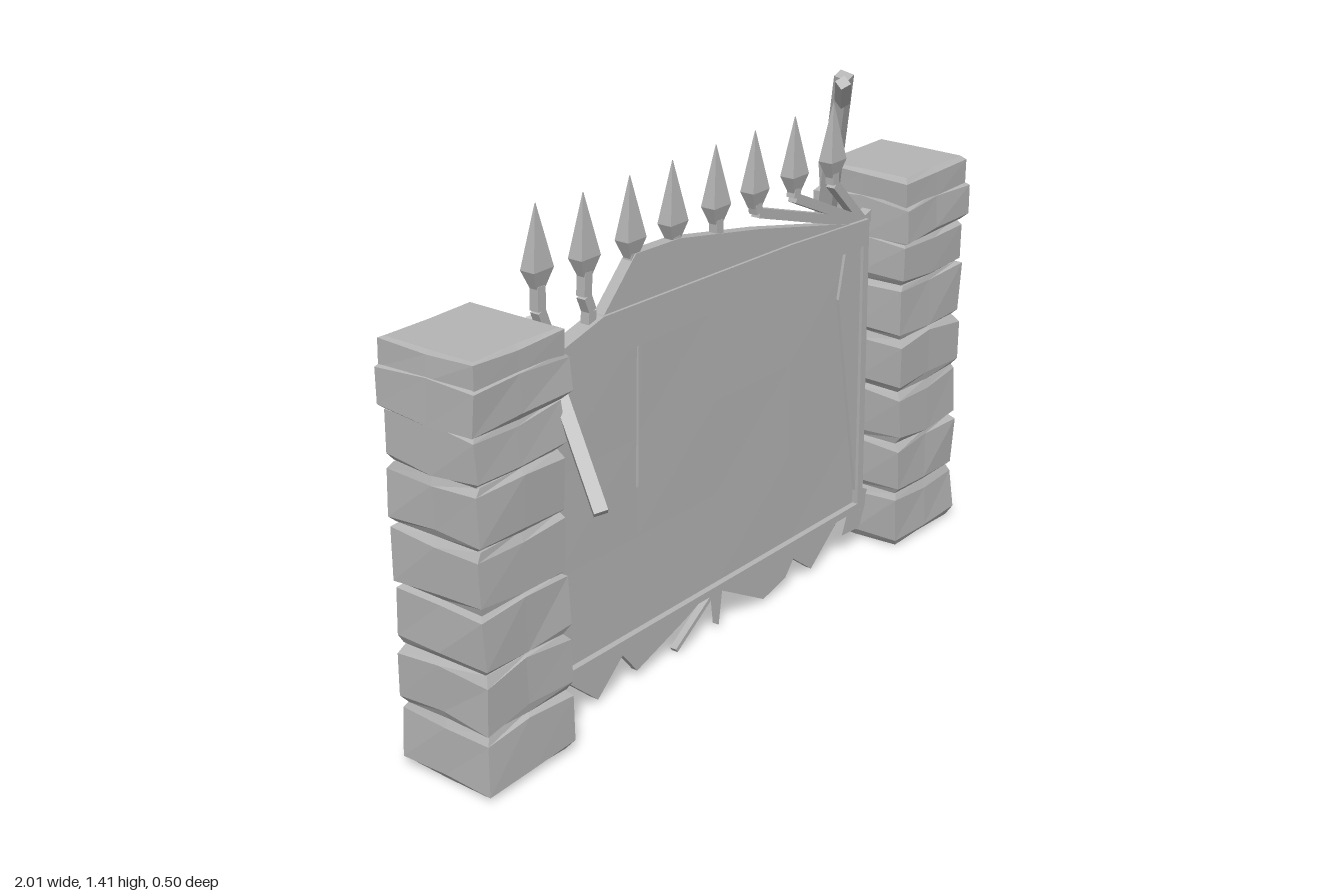
import * as THREE from 'three';

const stone = new THREE.MeshStandardMaterial({ color: 0xb4b4b4, flatShading: true, side: THREE.DoubleSide });
stone.name = 'plain grey';

function add(parent, geometry, name) {
  const mesh = new THREE.Mesh(geometry, stone);
  mesh.name = name;
  parent.add(mesh);
  return mesh;
}

// Repeatable noise in -1..1 so that shared corners stay together
function noise(a, b, c, seed) {
  const s = Math.sin(a * 12.99 + b * 78.23 + c * 37.72 + seed * 4.17) * 43758.5453;
  return (s - Math.floor(s)) * 2 - 1;
}

// Rough stone block with chamfered upper and lower edges
function block(w, h, d, seed, rough = 0.006) {
  const g = new THREE.BoxGeometry(2, 3, 2, 2, 3, 2);
  const p = g.attributes.position;
  for (let i = 0; i < p.count; i++) {
    const x = Math.round(p.getX(i)), z = Math.round(p.getZ(i)), row = Math.round(p.getY(i) + 1.5);
    const end = row === 0 || row === 3;
    const inset = end ? 0.012 : 0;
    const y = [-0.5, -0.41, 0.4, 0.5][row] * h;
    p.setXYZ(i,
      x * (w / 2 - inset) + noise(x, row, z, seed) * rough,
      y + (end ? 0 : noise(z, x, row, seed) * rough * 2),
      z * (d / 2 - inset) + noise(row, z, x, seed) * rough);
  }
  return g;
}

// Square beam between two points
function beam(parent, a, b, w, d, name) {
  const from = new THREE.Vector3(...a), to = new THREE.Vector3(...b);
  const mesh = add(parent, new THREE.BoxGeometry(w, from.distanceTo(to), d), name);
  mesh.position.copy(from).add(to).multiplyScalar(0.5);
  mesh.quaternion.setFromUnitVectors(new THREE.Vector3(0, 1, 0), to.sub(from).normalize());
  return mesh;
}

// Flat plate cut from an outline, spanning z0..z1
function plate(parent, pts, z0, z1, name, hole) {
  const shape = new THREE.Shape(pts.map(([x, y]) => new THREE.Vector2(x, y)));
  if (hole) shape.holes.push(new THREE.Path(hole.map(([x, y]) => new THREE.Vector2(x, y))));
  const g = new THREE.ExtrudeGeometry(shape, { depth: z1 - z0, bevelEnabled: false });
  g.translate(0, 0, z0);
  return add(parent, g, name);
}

function pillar(x, top, seed) {
  const group = new THREE.Group();
  group.name = x < 0 ? 'rightPillar' : 'leftPillar';
  const levels = [0.005, 0.168, 0.322, 0.478, 0.635, 0.79, 0.92];
  for (let i = 0; i < 6; i++) {
    const h = levels[i + 1] - levels[i];
    add(group, block(0.29, h, 0.28, seed + i), 'stoneCourse').position.set(x, levels[i] + h / 2, -0.05);
  }
  // Mortar core closes the gaps between the courses
  add(group, new THREE.BoxGeometry(0.26, 1.0, 0.25), 'core').position.set(x, 0.52, -0.05);
  // Overhanging capstone and its top slab
  add(group, block(0.312, 0.115, 0.3, seed + 7), 'capstone').position.set(x, 0.972, -0.05);
  add(group, block(0.296, top - 1.01, 0.29, seed + 8, 0.003), 'capSlab').position.set(x, (top + 1.01) / 2, -0.05);
  return group;
}

// Four-sided spear head
function spearHead(parent, x, y) {
  const pts = [[0, -0.005], [0.016, 0], [0.034, 0.045], [0.001, 0.2]]
    .map(([r, h]) => new THREE.Vector2(r * Math.SQRT2, h));
  const mesh = add(parent, new THREE.LatheGeometry(pts, 4, Math.PI / 4), 'spearHead');
  mesh.scale.z = 0.62;
  mesh.position.set(x, y, -0.024);
}

function rods(parent, pts, w, name) {
  for (let i = 1; i < pts.length; i++) beam(parent, pts[i - 1], pts[i], w, w, name);
}

export function createModel() {
  const model = new THREE.Group();
  model.name = 'brokenGate';
  model.add(pillar(-0.845, 1.09, 3), pillar(0.838, 1.1, 21));

  const gate = new THREE.Group();
  gate.name = 'gate';
  model.add(gate);

  // Outer frame with a recessed opening
  plate(gate,
    [[-0.66, 0.12], [0.655, 0.12], [0.655, 0.98], [0.3, 1.0], [-0.45, 1.02], [-0.66, 0.965]],
    -0.045, 0, 'frame', [[-0.63, 0.14], [-0.63, 0.91], [0.63, 0.91], [0.63, 0.14]]);

  // Warped sheet filling the frame
  const sheet = new THREE.BoxGeometry(1.27, 0.79, 0.026, 4, 3, 1);
  const sp = sheet.attributes.position;
  for (let i = 0; i < sp.count; i++) {
    const x = sp.getX(i), y = sp.getY(i);
    if (sp.getZ(i) > 0 && Math.abs(x) < 0.6 && Math.abs(y) < 0.38) {
      sp.setZ(i, 0.013 + noise(Math.round(x * 9), Math.round(y * 9), 1, 2) * 0.004);
    }
  }
  sheet.translate(0, 0.525, -0.031);
  add(gate, sheet, 'sheet');
  // Long torn creases on the sheet
  plate(gate, [[-0.31, 0.91], [-0.32, 0.53], [-0.3, 0.91]], -0.02, -0.012, 'crease');
  plate(gate, [[0.53, 0.78], [0.63, 0.18], [0.63, 0.91], [0.56, 0.91]], -0.02, -0.009, 'crease');

  // Slumped crest above the frame
  plate(gate, [[-0.45, 1.01], [0.64, 0.97], [0.17, 1.075], [-0.155, 1.135], [-0.32, 1.14]],
    -0.04, -0.008, 'crest');

  // Torn lower edge
  const teeth = [
    [[-0.63, 0.13], [-0.49, 0.01], [-0.39, 0.095], [-0.36, 0.13]],
    [[-0.42, 0.13], [-0.33, 0.02], [-0.13, 0.085], [-0.02, 0.13]],
    [[-0.02, 0.13], [0.2, 0.01], [0.3, 0.035], [0.38, 0.13]],
    [[0.33, 0.13], [0.35, 0.07], [0.43, 0.01], [0.58, 0.13]],
    [[0.57, 0.06], [0.655, 0.055], [0.655, 0.13], [0.6, 0.13]],
  ];
  teeth.forEach((t, i) => plate(gate, t, -0.04 + (i % 2) * 0.006, -0.01 - (i % 2) * 0.006, 'tornEdge'));
  beam(gate, [-0.17, 0.008, -0.025], [0, 0.12, -0.025], 0.012, 0.02, 'brokenRod');
  plate(gate, [[-0.005, 0.12], [0.008, 0.01], [0.025, 0.12]], -0.035, -0.015, 'rodTip');

  // Stile feet and hinge scraps beside the pillars
  beam(gate, [-0.647, 0, -0.024], [-0.647, 0.14, -0.024], 0.026, 0.035, 'stileFoot');
  beam(gate, [-0.685, 0.17, -0.03], [-0.65, 0.04, -0.03], 0.016, 0.03, 'hingeScrap');
  beam(gate, [0.64, 0.17, -0.03], [0.7, 0.14, -0.03], 0.03, 0.03, 'hinge');
  beam(gate, [0.655, 0.06, -0.03], [0.69, 0.14, -0.03], 0.022, 0.03, 'hingeScrap');
  beam(gate, [0.62, 0.96, -0.03], [0.7, 0.985, -0.03], 0.03, 0.03, 'hinge');
  beam(gate, [-0.64, 0.955, -0.03], [-0.71, 0.965, -0.03], 0.025, 0.03, 'hinge');

  // Spear heads on bent stems
  const z = -0.024;
  const stems = [
    [[-0.65, 1.15, z], [-0.652, 1.09, z], [-0.632, 1.04, z], [-0.645, 0.96, z]],
    [[-0.487, 1.14, z], [-0.492, 1.08, z], [-0.476, 1.04, z], [-0.48, 1.0, z]],
    [[-0.32, 1.14, z], [-0.325, 1.1, z]],
    [[-0.16, 1.14, z], [-0.155, 1.1, z]],
    [[0.01, 1.14, z], [0.01, 1.04, z]],
    [[0.17, 1.14, z], [0.175, 1.115, z], [0.63, 0.975, z]],
    [[0.34, 1.14, z], [0.335, 1.115, z], [0.64, 0.975, z]],
    [[0.51, 1.14, z], [0.51, 1.11, z], [0.645, 0.975, z]],
  ];
  stems.forEach((s, i) => {
    rods(gate, s, 0.026, 'spearStem');
    spearHead(gate, s[0][0], i === 0 ? 1.145 : 1.13);
  });

  // Two loose bars leaning out of the gate
  beam(gate, [-0.63, 1.06, -0.06], [-0.74, 0.685, 0.23], 0.034, 0.034, 'looseBarFront');
  beam(gate, [0.535, 1.4, -0.01], [0.725, 0.66, -0.225], 0.04, 0.036, 'looseBarBack');
  beam(gate, [0.487, 1.395, 0.02], [0.545, 1.325, -0.02], 0.03, 0.03, 'barSplinter');

  return model;
}
